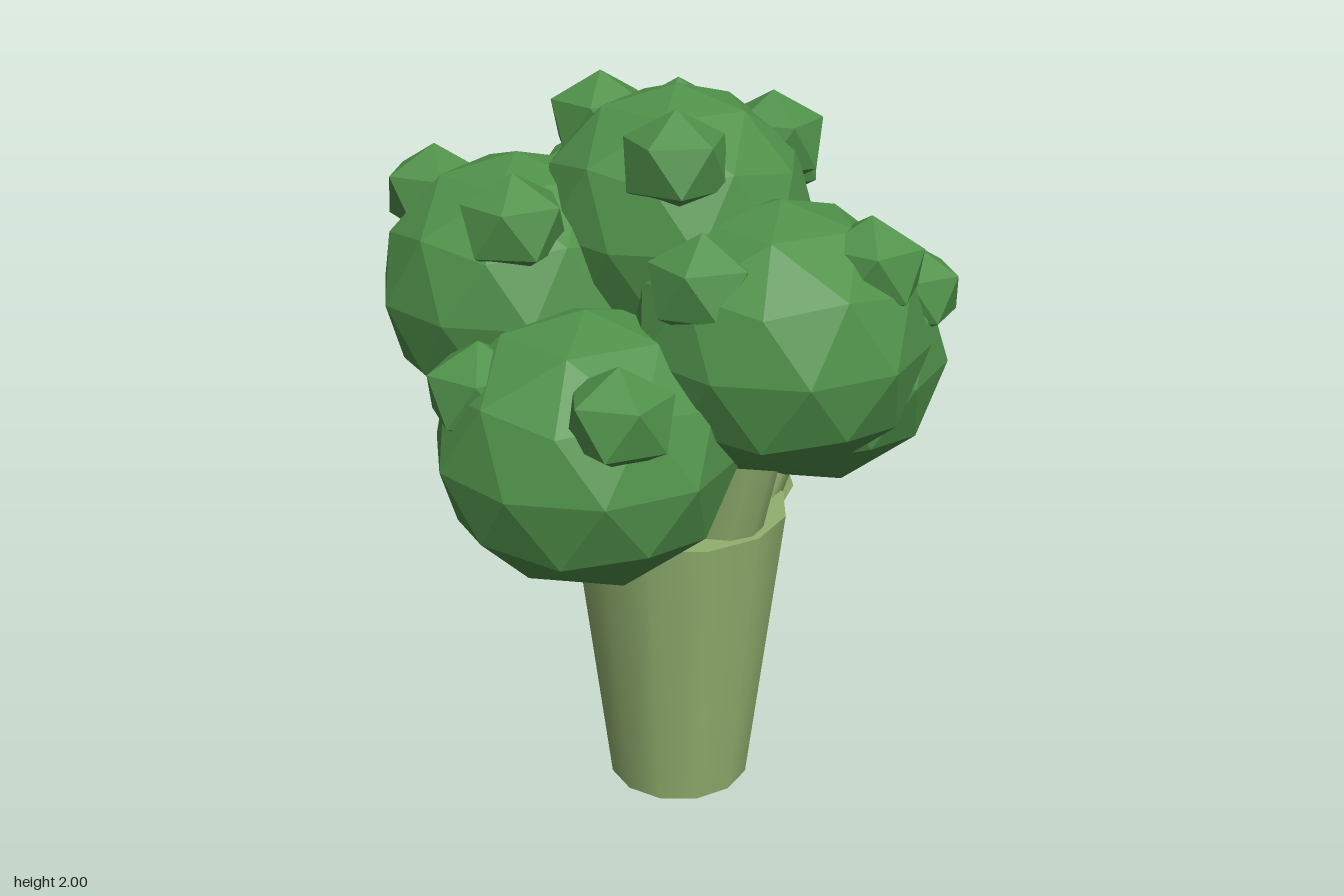
import * as THREE from 'three';

export function createModel() {
  const model = new THREE.Group();
  const stalkGreen = new THREE.MeshStandardMaterial({ color: 0x92b06f, side: THREE.DoubleSide });
  stalkGreen.name = 'stalk green';
  const floretGreen = new THREE.MeshStandardMaterial({ color: 0x50914a, flatShading: true });
  floretGreen.name = 'floret green';

  const add = (name, geometry, material) => {
    const mesh = new THREE.Mesh(geometry, material);
    mesh.name = name;
    model.add(mesh);
    return mesh;
  };

  // Faceted ball with a corner at each pole
  const ball = (detail) => new THREE.IcosahedronGeometry(1, detail).rotateZ(-Math.atan(2 / (1 + Math.sqrt(5))));
  const floretBall = ball(1);
  const bumpBall = ball(0);

  // Tapered stalk
  add('stalk', new THREE.CylinderGeometry(0.3, 0.2, 0.84, 12), stalkGreen).position.set(0, 0.42, 0.01);

  // Florets: centre, horizontal radius, half height
  const florets = [
    ['topFloret', 0, 1.655, 0, 0.36, 0.345],
    ['frontFloret', 0, 1.425, 0.36, 0.38, 0.35],
    ['backFloret', 0, 1.385, -0.36, 0.38, 0.355],
    ['leftFloret', 0.41, 1.2, 0.1, 0.39, 0.355],
    ['rightFloret', -0.41, 1.175, 0.1, 0.39, 0.355],
    ['backLeftFloret', 0.285, 1.54, -0.29, 0.37, 0.355],
    ['backRightFloret', -0.285, 1.47, -0.29, 0.37, 0.355],
  ];
  const up = new THREE.Vector3(0, 1, 0);
  for (const [name, x, y, z, r, h] of florets) {
    const floret = add(name, floretBall, floretGreen);
    floret.position.set(x, y, z);
    floret.scale.set(r, h, r);

    // Branch from the stalk to the floret
    const start = new THREE.Vector3(x * 0.4, 0.76, z * 0.4 + 0.01);
    const way = new THREE.Vector3(x, y, z).sub(start);
    const branch = add(name + 'Branch', new THREE.CylinderGeometry(0.085, 0.11, way.length(), 10), stalkGreen);
    branch.position.copy(start).addScaledVector(way, 0.5);
    branch.quaternion.setFromUnitVectors(up, way.normalize());
  }

  // Small buds on the florets
  const buds = [
    [-0.03, 1.87, -0.25], [-0.17, 1.86, 0.17], [0.25, 1.83, 0.1],
    [0.09, 1.63, 0.57], [-0.25, 1.61, 0.34],
    [-0.09, 1.56, -0.59], [0.05, 1.68, -0.39],
    [0.57, 1.4, 0.33], [0.58, 1.41, -0.09],
    [-0.54, 1.36, 0.36], [-0.63, 1.34, -0.04],
    [0.48, 1.74, -0.48], [0.42, 1.73, -0.06],
    [-0.37, 1.69, -0.52], [-0.44, 1.7, -0.12],
  ];
  buds.forEach(([x, y, z], i) => {
    const bud = add('bud', bumpBall, floretGreen);
    bud.position.set(x, y, z);
    bud.scale.set(0.145, 0.13, 0.145);
    bud.rotation.y = i * 0.9;
  });

  // Folded leaf on the left of the stalk
  const corners = [
    0.35, 0.8, 0, // centre
    0.41, 0.9, 0, // tip
    0.36, 0.81, 0.11,
    0.27, 0.67, 0.08,
    0.29, 0.73, 0, // notch
    0.27, 0.67, -0.1,
    0.36, 0.81, -0.14,
  ];
  const leaf = new THREE.BufferGeometry();
  leaf.setAttribute('position', new THREE.Float32BufferAttribute(corners, 3));
  leaf.setIndex([0, 1, 2, 0, 2, 3, 0, 3, 4, 0, 4, 5, 0, 5, 6, 0, 6, 1]);
  const flatLeaf = leaf.toNonIndexed();
  flatLeaf.computeVertexNormals();
  add('leaf', flatLeaf, stalkGreen);

  return model;
}
